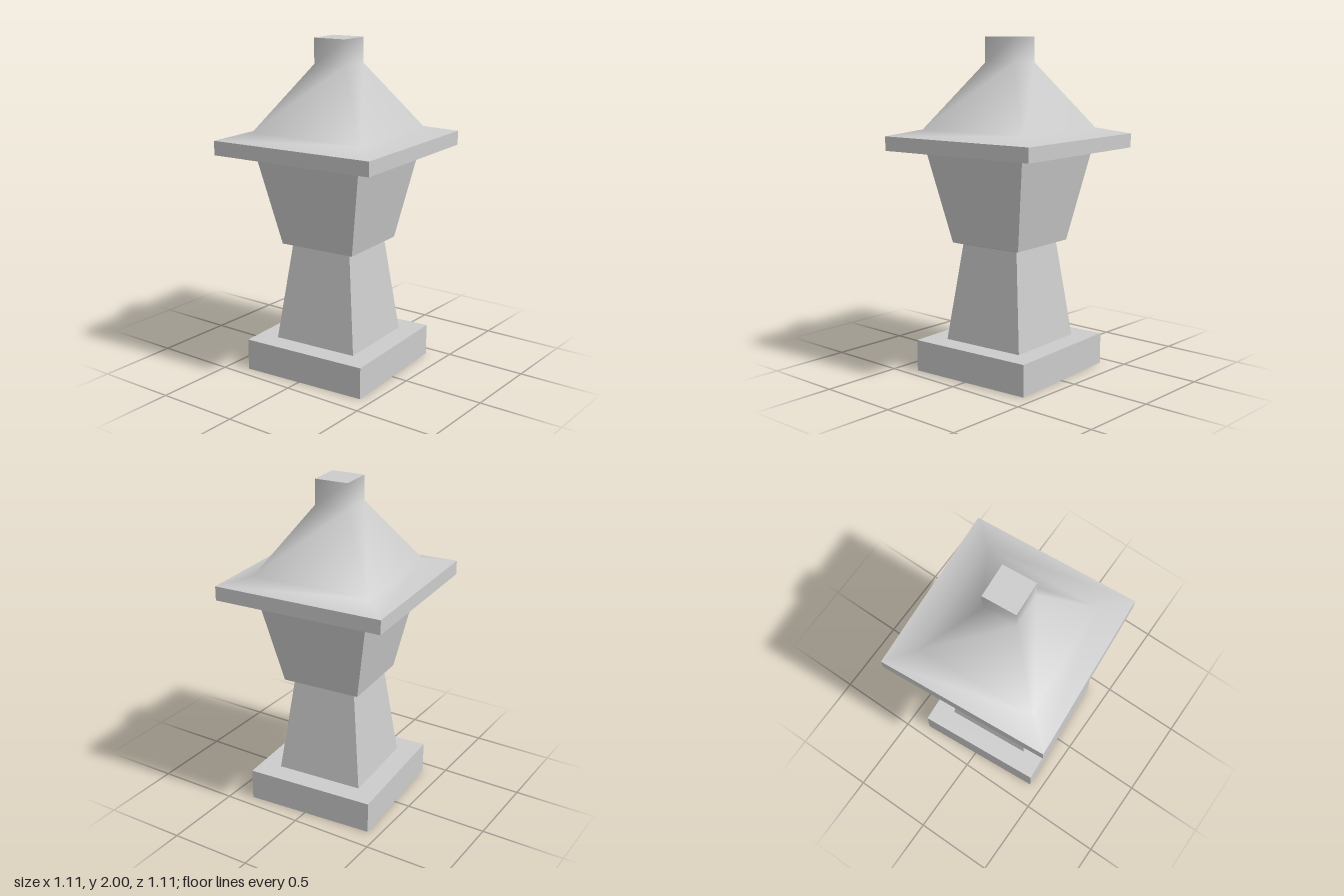
import * as THREE from 'three';

// Square-section skin through [halfWidth, y] rings, bottom to top, outside facing out.
function squareLoft(rings, smooth) {
  const corners = [[-1, 1], [1, 1], [1, -1], [-1, -1]];
  const positions = [];
  const index = [];
  for (const [half, y] of rings) {
    for (const [sx, sz] of corners) positions.push(sx * half, y, sz * half);
  }
  for (let r = 0; r < rings.length - 1; r++) {
    for (let i = 0; i < 4; i++) {
      const j = (i + 1) % 4;
      const a = r * 4 + i, b = r * 4 + j, c = b + 4, d = a + 4;
      index.push(a, b, c, a, c, d);
    }
  }
  let geometry = new THREE.BufferGeometry();
  geometry.setAttribute('position', new THREE.Float32BufferAttribute(positions, 3));
  geometry.setIndex(index);
  if (!smooth) geometry = geometry.toNonIndexed();
  geometry.computeVertexNormals();
  return geometry;
}

export function createModel() {
  const group = new THREE.Group();
  group.name = 'stoneLantern';

  const stone = new THREE.MeshStandardMaterial({ color: 0xcccccc, side: THREE.DoubleSide });
  stone.name = 'grey stone';

  const add = (name, geometry) => {
    const mesh = new THREE.Mesh(geometry, stone);
    mesh.name = name;
    group.add(mesh);
    return mesh;
  };

  // Hollow plinth with its top ledge, open underneath
  add('base', squareLoft([[0.399, 0], [0.399, 0.19], [0.27, 0.19]]));

  // Pedestal narrowing upwards
  add('pedestal', squareLoft([[0.27, 0.19], [0.199, 0.772]]));

  // Flared lantern body with a small sloped lip below
  add('body', squareLoft([[0.199, 0.772], [0.243, 0.785], [0.352, 1.34]]));

  // Eave slab: underside and rim
  add('eave', squareLoft([[0.352, 1.34], [0.519, 1.34], [0.519, 1.425]]));

  // Smooth roof sweeping up into the neck
  add('roof', squareLoft([[0.519, 1.425], [0.364, 1.463], [0.103, 1.85], [0.103, 2]], true));

  // Flat top of the neck
  const cap = add('neckCap', new THREE.PlaneGeometry(0.206, 0.206));
  cap.rotation.x = -Math.PI / 2;
  cap.position.y = 2;

  // The whole lantern stands slightly turned
  group.rotation.y = 0.0724;
  return group;
}
